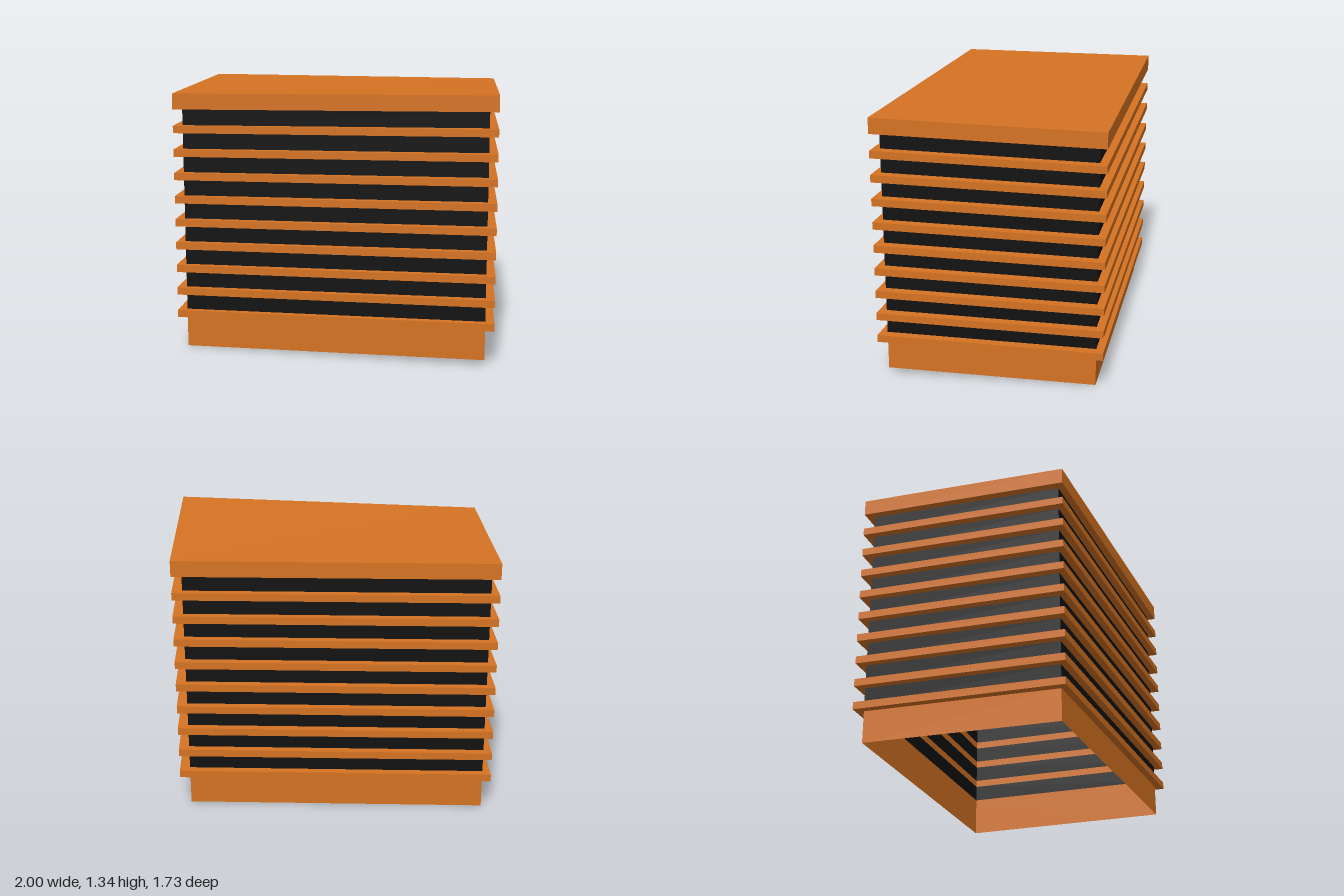
import * as THREE from 'three';

const orange = new THREE.MeshStandardMaterial({ color: 0xd67323, side: THREE.DoubleSide });
orange.name = 'orange cladding';
const black = new THREE.MeshStandardMaterial({ color: 0x111111, side: THREE.DoubleSide });
black.name = 'black glazing';

// Plan corners as [x, z, lift]; the right-hand corner sits slightly higher
const SLAB = [[-1, 0.04, 0], [-0.37, 0.86, 0], [1, -0.005, 0.03], [0.29, -0.865, 0]];
const WALL = [[-0.945, 0.05, 0], [-0.355, 0.81, 0], [0.94, -0.01, 0.03], [0.275, -0.805, 0]];

const at = (plan, y) => plan.map(([x, z, lift]) => [x, y + lift, z]);

function meshOf(triangles, material, name) {
  const geometry = new THREE.BufferGeometry();
  geometry.setAttribute('position', new THREE.Float32BufferAttribute(triangles.flat(), 3));
  geometry.computeVertexNormals();
  const mesh = new THREE.Mesh(geometry, material);
  mesh.name = name;
  return mesh;
}

// Faces joining each four-cornered loop to the next one
function skin(loops) {
  const tris = [];
  for (let k = 0; k + 1 < loops.length; k++) {
    const a = loops[k], b = loops[k + 1];
    for (let i = 0; i < 4; i++) {
      const j = (i + 1) % 4;
      tris.push(a[i], a[j], b[j], a[i], b[j], b[i]);
    }
  }
  return tris;
}

export function createModel() {
  const group = new THREE.Group();
  group.name = 'officeBlock';
  const first = 0.16, pitch = 0.119, thick = 0.037, floors = 9;
  const roofY = first + floors * pitch, roofTop = 1.31;

  // Hollow base wall, open underneath
  group.add(meshOf(skin([at(WALL, 0), at(WALL, first)]), orange, 'baseWall'));

  for (let i = 0; i < floors; i++) {
    const y = first + i * pitch, top = y + thick;
    // Overhanging ring-shaped floor slab
    const ring = [at(WALL, y), at(SLAB, y), at(SLAB, top), at(WALL, top), at(WALL, y)];
    group.add(meshOf(skin(ring), orange, 'floorSlab' + (i + 1)));
    // Glazing band up to the next slab
    group.add(meshOf(skin([at(WALL, top), at(WALL, y + pitch)]), black, 'windowBand' + (i + 1)));
  }

  // Solid roof slab with top and underside
  const low = at(SLAB, roofY), high = at(SLAB, roofTop);
  const [a, b, c, d] = high, [e, f, g, h] = low;
  const roof = [...skin([low, high]), a, b, d, b, c, d, e, h, f, f, h, g];
  group.add(meshOf(roof, orange, 'roofSlab'));

  return group;
}
